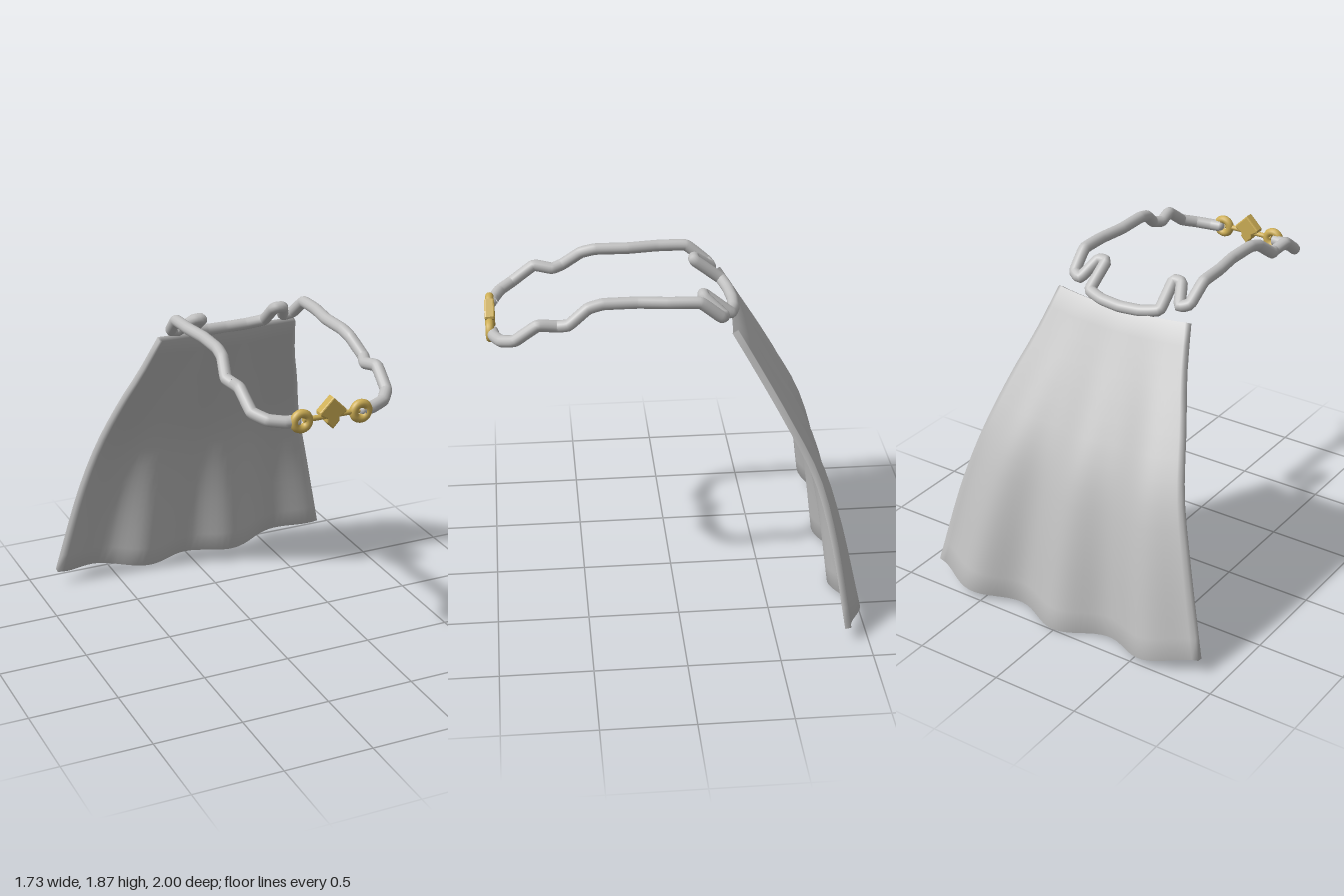
import * as THREE from 'three';

const cloth = new THREE.MeshStandardMaterial({ color: 0xc0c0c0 });
cloth.name = 'greyCloth';
const gold = new THREE.MeshStandardMaterial({ color: 0xcdae55 });
gold.name = 'gold';

function part(name, geometry, material, x = 0, y = 0, z = 0) {
  const mesh = new THREE.Mesh(geometry, material);
  mesh.name = name;
  mesh.position.set(x, y, z);
  return mesh;
}

// Thick sheet that widens, falls backwards and gathers three soft folds at the hem
function capeGeometry() {
  const rows = 15, cols = 48, half = 0.017, ring = 2 * (cols + 1);
  // x = half width, y = height, z = depth
  const profile = new THREE.CatmullRomCurve3([
    [0.41, 1.665, -0.3], [0.475, 1.42, -0.44], [0.55, 1.2, -0.565],
    [0.645, 0.87, -0.735], [0.735, 0.55, -0.83], [0.863, 0.012, -0.935],
  ].map(p => new THREE.Vector3(...p)));
  const positions = [], index = [];
  for (let i = 0; i <= rows; i++) {
    const v = i / rows;
    const p = profile.getPointAt(v), t = profile.getTangentAt(v);
    const len = Math.hypot(t.y, t.z);
    const ny = t.z / len * half, nz = -t.y / len * half;
    for (let j = 0; j < ring; j++) {
      const inner = j <= cols;
      const s = (inner ? j : ring - 1 - j) / cols * 2 - 1;
      const side = inner ? 1 : -1;
      const fold = 0.05 * Math.pow(v, 1.5) * Math.cos(3 * Math.PI * s);
      const bow = 0.03 * (1 - s * s) * (1 - v);
      positions.push(
        p.x * s,
        p.y + s * s * (0.015 + 0.07 * v) + side * ny,
        p.z - fold - bow + side * nz);
    }
  }
  for (let i = 0; i < rows; i++) {
    for (let j = 0; j < ring; j++) {
      const a = i * ring + j, b = i * ring + (j + 1) % ring;
      index.push(a, a + ring, b, b, a + ring, b + ring);
    }
  }
  // Close the top and bottom edges
  const base = rows * ring;
  for (let j = 0; j < cols; j++) {
    const k = ring - 1 - j;
    index.push(j, j + 1, k, j + 1, k - 1, k);
    index.push(base + j, base + k, base + j + 1, base + j + 1, base + k, base + k - 1);
  }
  const g = new THREE.BufferGeometry();
  g.setAttribute('position', new THREE.Float32BufferAttribute(positions, 3));
  g.setIndex(index);
  g.computeVertexNormals();
  return g;
}

// Cord runs from one ring, around the neck, to the other
function collarGeometry() {
  const left = [
    [0.18, 1.63, 0.955], [0.24, 1.63, 0.945], [0.32, 1.64, 0.91], [0.375, 1.665, 0.84],
    [0.385, 1.75, 0.72], [0.37, 1.735, 0.62], [0.39, 1.75, 0.56], [0.365, 1.825, 0.46],
    [0.358, 1.845, 0.38], [0.355, 1.845, 0.2], [0.375, 1.845, 0.04], [0.378, 1.84, -0.12],
    [0.365, 1.75, -0.23], [0.315, 1.735, -0.25], [0.265, 1.815, -0.155],
    [0.215, 1.815, -0.155], [0.22, 1.705, -0.295], [0.12, 1.685, -0.325],
  ];
  const right = left.map(([x, y, z]) => [-x, y, z]).reverse();
  const points = [...left, [0, 1.68, -0.335], ...right].map(p => new THREE.Vector3(...p));
  const path = new THREE.CatmullRomCurve3(points, false, 'catmullrom', 0.15);
  return new THREE.TubeGeometry(path, 320, 0.032, 14, false);
}

// Pointed ornament with a smaller point hanging below it
function diamondGeometry() {
  const shape = new THREE.Shape([
    [0, 0.065], [-0.066, 0], [-0.066, -0.008], [-0.028, -0.03], [-0.028, -0.052],
    [0, -0.082], [0.028, -0.052], [0.028, -0.03], [0.066, -0.008], [0.066, 0],
  ].map(p => new THREE.Vector2(...p)));
  const g = new THREE.ExtrudeGeometry(shape, {
    depth: 0.038, bevelEnabled: true, bevelThickness: 0.008, bevelSize: 0.007, bevelSegments: 2,
  });
  g.translate(0, 0, -0.019);
  return g;
}

export function createModel() {
  const model = new THREE.Group();
  model.name = 'cape';
  model.add(part('capeCloth', capeGeometry(), cloth));
  model.add(part('collarCord', collarGeometry(), cloth));

  // Clasp: two rings, a joining bar and the ornament
  const clasp = new THREE.Group();
  clasp.name = 'clasp';
  for (const side of [1, -1]) {
    const name = side > 0 ? 'left' : 'right';
    clasp.add(part(name + 'Ring', new THREE.TorusGeometry(0.04, 0.023, 12, 32), gold, side * 0.165, 1.63, 0.967));
    const end = part(name + 'CordEnd', new THREE.SphereGeometry(0.03, 16, 12), cloth, side * 0.182, 1.63, 0.955);
    end.scale.set(0.7, 0.9, 0.9);
    clasp.add(end);
  }
  const bar = part('bar', new THREE.CylinderGeometry(0.014, 0.014, 0.31, 12), gold, 0, 1.634, 0.967);
  bar.rotation.z = Math.PI / 2;
  clasp.add(bar);
  clasp.add(part('diamond', diamondGeometry(), gold, 0, 1.662, 0.967));
  model.add(clasp);
  return model;
}
